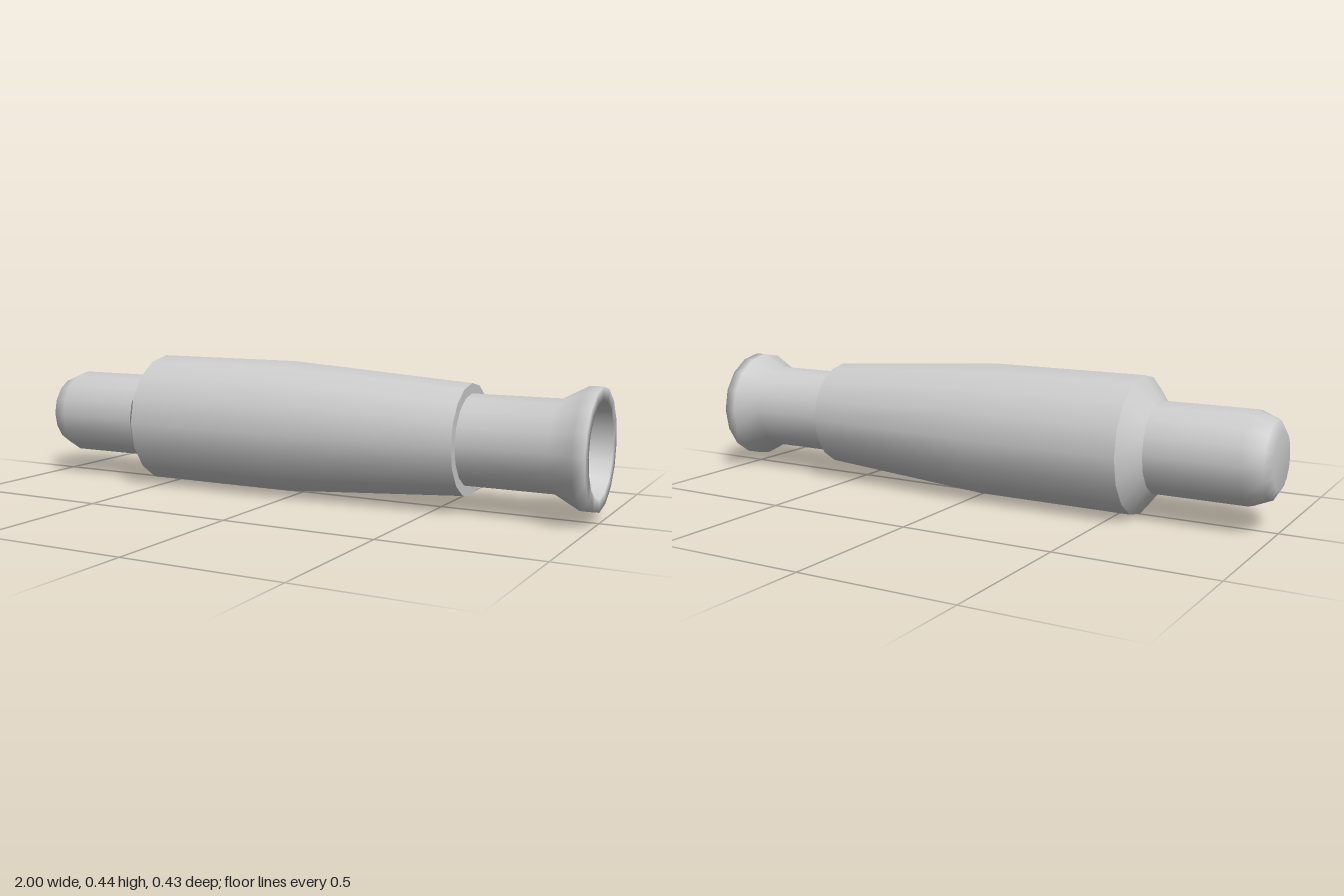
import * as THREE from 'three';

const AXIS_HEIGHT = 0.223;
const SIDES = 16;

export function createModel() {
  const group = new THREE.Group();
  const material = new THREE.MeshStandardMaterial({ color: 0xcccccc });

  // Turns a profile of [x, radius] points around the long axis (left to right).
  function turned(name, profile) {
    const points = profile.map(([x, r]) => new THREE.Vector2(r, x));
    const geometry = new THREE.LatheGeometry(points, SIDES);
    geometry.rotateZ(-Math.PI / 2);
    geometry.scale(1, 1, 0.965); // slightly narrower than tall
    const mesh = new THREE.Mesh(geometry, material);
    mesh.name = name;
    mesh.position.y = AXIS_HEIGHT;
    group.add(mesh);
  }

  // Rounded plug at the closed end
  turned('endPlug', [[-1, 0], [-1, 0.09], [-0.98, 0.122], [-0.92, 0.147], [-0.6, 0.147]]);

  // Grip: bevelled shoulder, straight half, tapered half
  turned('gripShoulder', [[-0.62, 0.146], [-0.56, 0.221]]);
  turned('grip', [[-0.56, 0.221], [-0.03, 0.221], [0.595, 0.178]]);
  turned('gripEnd', [[0.595, 0.178], [0.595, 0.14]]);

  // Neck with flared lip, running over the rim into the hollow bore
  turned('mouthpiece', [
    [0.59, 0.146], [0.88, 0.146], [0.96, 0.188], [1, 0.188],
    [1, 0.148], [0.7, 0.113], [0.7, 0],
  ]);

  return group;
}
